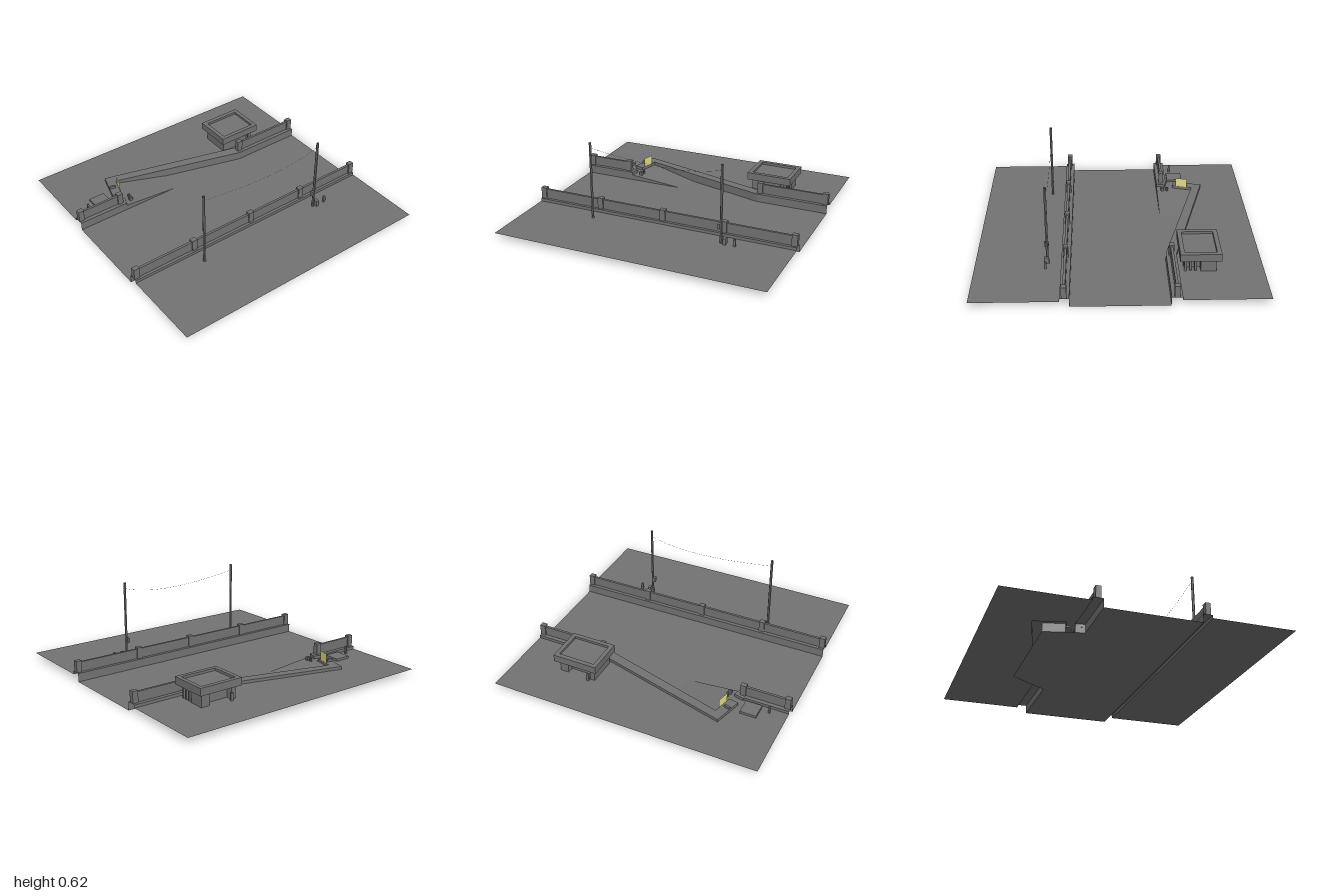
import * as THREE from 'three';

const ROAD = 0, GROUND = 0.04, CURB = 0.062;

export function createModel() {
  const model = new THREE.Group();
  const grey = new THREE.MeshStandardMaterial({ color: 0x737373, flatShading: true });
  const sheet = new THREE.MeshStandardMaterial({ color: 0x737373, flatShading: true, side: THREE.DoubleSide });
  const yellow = new THREE.MeshStandardMaterial({ color: 0xe6e088, side: THREE.DoubleSide });

  function add(name, geometry, material = grey) {
    const mesh = new THREE.Mesh(geometry, material);
    mesh.name = name;
    model.add(mesh);
    return mesh;
  }

  // Box given by its extents
  function box(name, x0, x1, y0, y1, z0, z1) {
    const mesh = add(name, new THREE.BoxGeometry(x1 - x0, y1 - y0, z1 - z0));
    mesh.position.set((x0 + x1) / 2, (y0 + y1) / 2, (z0 + z1) / 2);
    return mesh;
  }

  // Flat area from [x, z] corners
  function flat(name, corners, y) {
    const shape = new THREE.Shape(corners.map(([x, z]) => new THREE.Vector2(x, -z)));
    add(name, new THREE.ShapeGeometry(shape).rotateX(-Math.PI / 2).translate(0, y, 0), sheet);
  }

  // Surface through rows of points, each row the same length
  function loft(name, rows) {
    const n = rows[0].length, index = [];
    for (let i = 0; i < rows.length - 1; i++) {
      for (let j = 0; j < n - 1; j++) {
        const a = i * n + j, b = a + n;
        index.push(a, b, a + 1, b, b + 1, a + 1);
      }
    }
    const geometry = new THREE.BufferGeometry();
    geometry.setAttribute('position', new THREE.Float32BufferAttribute(rows.flat(2), 3));
    geometry.setIndex(index);
    geometry.computeVertexNormals();
    add(name, geometry, sheet);
  }

  // Retaining bank: road-side face, top and outer face along two edge lines
  function bank(name, inner, outer) {
    loft(name, inner.map(([x, z], i) => {
      const [u, w] = outer[i];
      return [[x, ROAD, z], [x, CURB, z], [u, CURB, w], [u, GROUND, w]];
    }));
  }

  // Closing face where a bank stops
  function bankEnd([x, z], [u, w]) {
    loft('bankEnd', [[[x, ROAD, z], [x, CURB, z]], [[u, ROAD, w], [u, CURB, w]]]);
  }

  // Parapet wall with posts on top of a bank
  function parapet(x, z0, z1, posts) {
    box('parapetWall', x - 0.009, x + 0.009, CURB, 0.135, z0, z1);
    for (const z of posts) box('parapetPost', x - 0.018, x + 0.018, CURB, 0.147, z - 0.021, z + 0.021);
  }

  // Edge lines of the left bank, which widens into a bay with a gap
  const bayInner = [[-0.335, -1], [-0.335, -0.45], [-0.61, 0.54], [-0.46, 0.58]];
  const bayOuter = [[-0.41, -1], [-0.41, -0.46], [-0.69, 0.59], [-0.475, 0.65]];
  const endInner = [[-0.4, 0.592], [-0.335, 0.61], [-0.335, 1]];
  const endOuter = [[-0.418, 0.665], [-0.41, 0.667], [-0.41, 1]];

  // Ground surfaces; the road floor runs on below the slanted bank
  flat('road', [bayInner[0], bayInner[1], [-0.61, -0.27], bayInner[2], bayInner[3],
    ...endInner, [0.335, 1], [0.335, -1]], ROAD);
  flat('leftGround', [[-1, -1], ...bayOuter, ...endOuter, [-1, 1]], GROUND);
  flat('rightGround', [[0.4, -1], [1, -1], [1, 1], [0.4, 1]], GROUND);

  // Banks
  bank('bayBank', bayInner, bayOuter);
  bank('endBank', endInner, endOuter);
  bank('rightBank', [[0.335, -1], [0.335, 1]], [[0.4, -1], [0.4, 1]]);
  bankEnd(bayInner[3], bayOuter[3]);
  bankEnd(endInner[0], endOuter[0]);

  // Ramp from the road up through the gap
  loft('ramp', [
    [[-0.505, ROAD + 0.001, 0.15], [-0.335, ROAD + 0.001, 0.2]],
    [[-0.61, GROUND, 0.54], [-0.335, GROUND, 0.61]],
  ]);
  loft('rampSide', [
    [[-0.335, ROAD, 0.2], [-0.335, ROAD + 0.001, 0.2]],
    [[-0.335, ROAD, 0.61], [-0.335, GROUND, 0.61]],
  ]);
  flat('rampLanding', [bayInner[3], endInner[0], endOuter[0], bayOuter[3]], GROUND);

  // Parapets
  parapet(-0.372, -1, -0.45, [-0.979, -0.47]);
  parapet(-0.372, 0.63, 1, [0.65, 0.979]);
  parapet(0.37, -1, 1, [-0.979, -0.47, 0, 0.5, 0.979]);

  // Hut body with recessed back corner and small piers
  box('hutCore', -0.62, -0.447, GROUND, 0.137, -0.6, -0.38);
  box('hutFront', -0.668, -0.447, GROUND, 0.137, -0.41, -0.375);
  box('hutCorner', -0.668, -0.56, GROUND, 0.137, -0.655, -0.59);
  for (const x of [-0.455, -0.49, -0.525]) box('hutPier', x - 0.008, x + 0.008, GROUND, 0.137, -0.65, -0.625);
  box('hutSidePost', -0.692, -0.678, GROUND, 0.095, -0.43, -0.41);

  // Hut roof: slab with a raised rim
  const rim = new THREE.Shape();
  rim.moveTo(-0.7, 0.345).lineTo(-0.415, 0.345).lineTo(-0.415, 0.685).lineTo(-0.7, 0.685).closePath();
  const hole = new THREE.Path();
  hole.moveTo(-0.668, 0.376).lineTo(-0.668, 0.655).lineTo(-0.446, 0.655).lineTo(-0.446, 0.376).closePath();
  rim.holes.push(hole);
  add('roofRim', new THREE.ExtrudeGeometry(rim, { depth: 0.055, bevelEnabled: false })
    .rotateX(-Math.PI / 2).translate(0, 0.135, 0));
  box('roofSlab', -0.668, -0.446, 0.136, 0.172, -0.655, -0.376);

  // Thin sign on the bay bank
  const sign = add('sign', new THREE.PlaneGeometry(0.09, 0.07), yellow);
  sign.position.set(-0.531, 0.097, 0.562);
  sign.rotation.y = -0.26;
  box('signalBox', -0.561, -0.545, CURB, 0.08, 0.58, 0.625).rotation.y = -0.26;

  // Small furniture by the ramp
  box('slab', -0.545, -0.425, GROUND, 0.058, 0.69, 0.81);
  box('marker', -0.46, -0.447, GROUND, 0.1, 0.865, 0.878);
  const stub = add('stub', new THREE.CylinderGeometry(0.009, 0.009, 0.03, 8));
  stub.position.set(-0.415, 0.05, 0.545);
  for (const x of [-0.387, -0.373]) box('crate', x - 0.006, x + 0.006, 0.03, 0.06, 0.537, 0.563);

  // Utility poles, open at the ends, and the sagging wire between them
  for (const z of [-0.495, 0.5]) {
    const pole = add('pole', new THREE.CylinderGeometry(0.01, 0.01, 0.576, 6, 1, true), sheet);
    pole.position.set(0.498, 0.328, z);
  }
  const wire = new THREE.QuadraticBezierCurve3(
    new THREE.Vector3(0.49, 0.573, -0.495), new THREE.Vector3(0.49, 0.467, -0.18), new THREE.Vector3(0.49, 0.573, 0.5));
  add('wire', new THREE.TubeGeometry(wire, 24, 0.0007, 4));

  // Boxes around the rear pole
  box('poleBox', 0.486, 0.519, 0.15, 0.187, -0.489, -0.472);
  box('groundBox', 0.484, 0.52, GROUND, 0.086, -0.535, -0.513);
  box('smallPost', 0.501, 0.515, GROUND, 0.092, -0.605, -0.588);

  return model;
}
